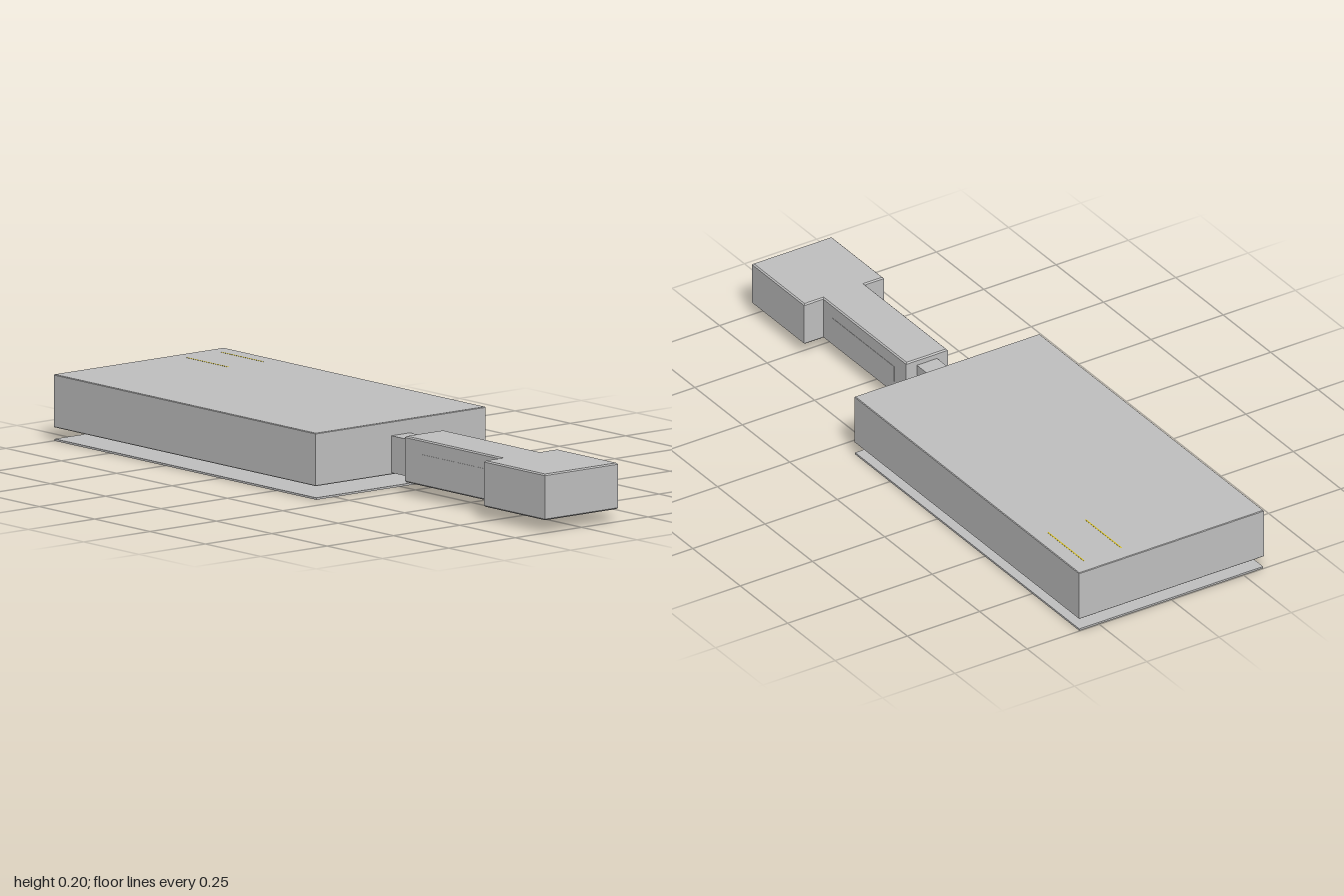
import * as THREE from 'three';

const mat = (name, color) => {
  const m = new THREE.MeshStandardMaterial({ color });
  m.name = name;
  return m;
};

export function createModel() {
  const model = new THREE.Group();
  const grey = mat('silver grey', 0xc0c0c0);
  const gold = mat('contact yellow', 0xd8c020);

  const add = (name, geometry, material = grey) => {
    const mesh = new THREE.Mesh(geometry, material);
    mesh.name = name;
    model.add(mesh);
    return mesh;
  };

  // Box given by its limits on each axis
  const box = (name, [x0, x1], [y0, y1], [z0, z1], material) =>
    add(name, new THREE.BoxGeometry(x1 - x0, y1 - y0, z1 - z0), material)
      .position.set((x0 + x1) / 2, (y0 + y1) / 2, (z0 + z1) / 2);

  // Plan outline of (x, z) points raised from y0 to y1 with a small bevel
  const slab = (name, points, y0, y1, bevel) => {
    const shape = new THREE.Shape(points.map(([x, z]) => new THREE.Vector2(x, -z)));
    const geometry = new THREE.ExtrudeGeometry(shape, {
      depth: y1 - y0 - 2 * bevel, bevelSize: bevel, bevelThickness: bevel,
      bevelOffset: -bevel, bevelSegments: 1,
    });
    geometry.rotateX(-Math.PI / 2);
    geometry.translate(0, y0 + bevel, 0);
    add(name, geometry);
  };

  // Main case and the thin plate below it
  slab('case', [[-0.32, 0.183], [0.32, 0.183], [0.32, -1], [-0.32, -1]], 0.04, 0.196, 0.002);
  box('basePlate', [-0.318, 0.318], [0, 0.006], [-0.998, 0.183]);

  // Neck and stepped handle
  box('neck', [-0.035, 0.035], [0.045, 0.154], [0.18, 0.295]);
  slab('handle', [
    [-0.138, 1], [0.138, 1], [0.138, 0.725], [0.072, 0.725],
    [0.072, 0.288], [-0.072, 0.288], [-0.072, 0.725], [-0.138, 0.725],
  ], 0.037, 0.173, 0.004);

  // Side panels of the handle
  for (const s of [-1, 1]) {
    const x = s * 0.072;
    box(s > 0 ? 'leftPanel' : 'rightPanel', [x - 0.001, x + 0.001], [0.08, 0.13], [0.35, 0.68]);
  }

  // Small button beside the neck
  box('button', [0.163, 0.195], [0.083, 0.112], [0.18, 0.2]);

  // Contact edges flush with the top of the case
  for (const x of [0.14, 0.27]) {
    box('contactEdge', [x - 0.002, x + 0.002], [0.195, 0.1965], [-0.95, -0.76], gold);
  }
  return model;
}
